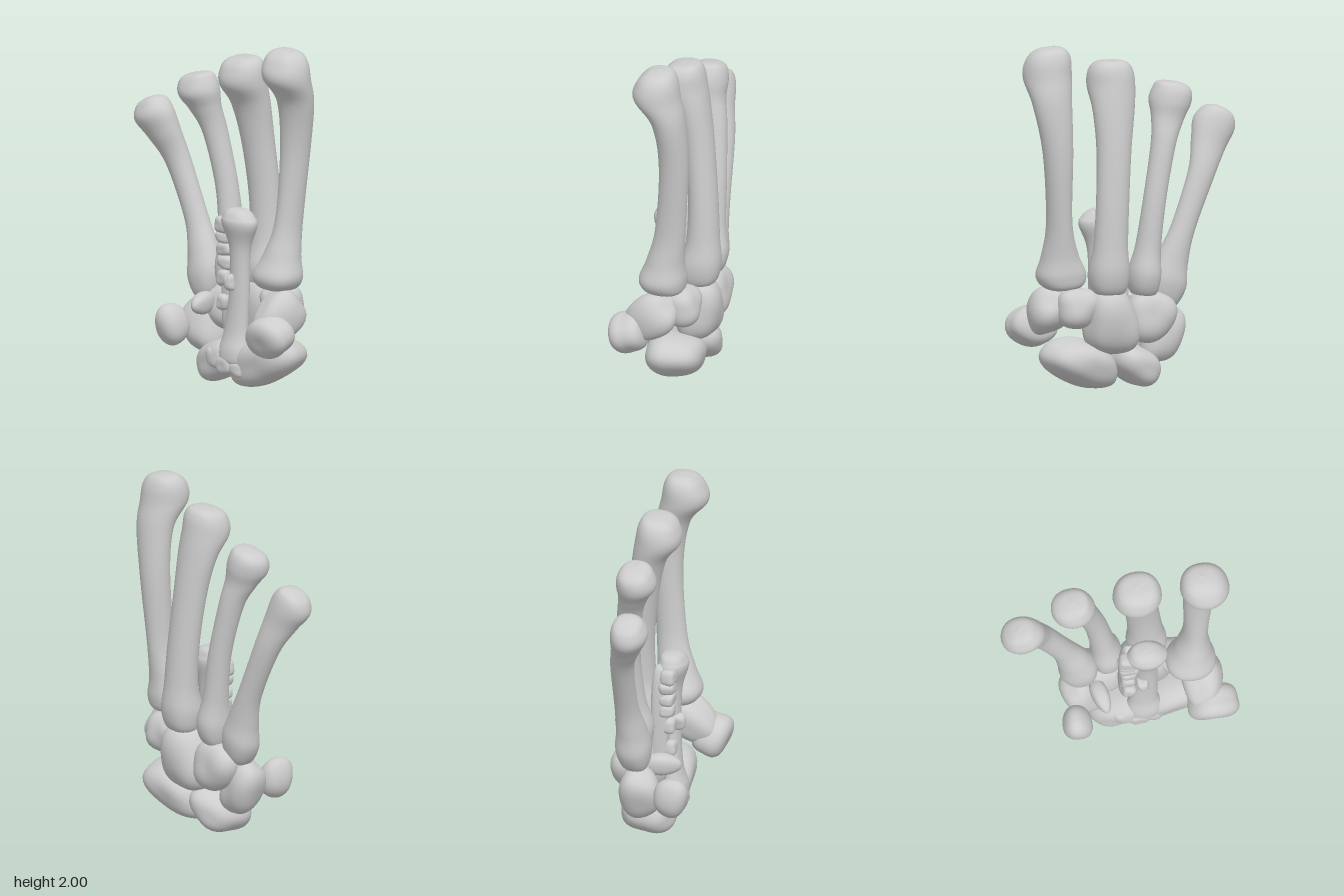
import * as THREE from 'three';
import { mergeVertices } from 'three/addons/utils/BufferGeometryUtils.js';

const bone = new THREE.MeshStandardMaterial({ color: 0xcccccc });
bone.name = 'bone grey';

const spow = (v, e) => Math.sign(v) * Math.pow(Math.abs(v), e);

// Long bone: smooth loft through sections [x, y, z, halfWidth, halfDepth], base to head
function longBone(name, sections) {
  const centre = new THREE.CatmullRomCurve3(sections.map(s => new THREE.Vector3(s[0], s[1], s[2])), false, 'catmullrom', 0.5);
  const size = new THREE.CatmullRomCurve3(sections.map(s => new THREE.Vector3(s[3], s[4], 0)), false, 'catmullrom', 0.5);
  const up = centre.getPoint(1).sub(centre.getPoint(0)).normalize();
  const u = new THREE.Vector3(1, 0, 0).addScaledVector(up, -up.x).normalize();
  const w = new THREE.Vector3().crossVectors(u, up).normalize();
  const rings = (sections.length - 1) * 8, sides = 36, pos = [], idx = [];
  for (let i = 0; i <= rings; i++) {
    const t = i / rings, c = centre.getPoint(t), r = size.getPoint(t);
    const end = Math.max(0, Math.abs(t - 0.5) * 2 - 0.4) / 0.6;
    const e = 1 - 0.28 * end;
    for (let j = 0; j < sides; j++) {
      const a = (j / sides) * Math.PI * 2, ca = Math.cos(a), sa = Math.sin(a);
      // hollow between the two knuckle lobes
      const dip = sa > 0 && t > 0.5 ? 1 - 0.1 * end * Math.exp(-Math.pow(ca / 0.35, 2)) : 1;
      const p = c.clone()
        .addScaledVector(u, Math.max(r.x, 0.002) * spow(ca, e))
        .addScaledVector(w, Math.max(r.y, 0.002) * spow(sa, e) * dip);
      pos.push(p.x, p.y, p.z);
      if (i < rings) {
        const k = (j + 1) % sides, A = i * sides + j, B = i * sides + k;
        idx.push(A, A + sides, B, B, A + sides, B + sides);
      }
    }
  }
  const g = new THREE.BufferGeometry();
  g.setAttribute('position', new THREE.Float32BufferAttribute(pos, 3));
  g.setIndex(idx);
  g.computeVertexNormals();
  const m = new THREE.Mesh(g, bone);
  m.name = name;
  return m;
}

// Short bone: rounded, gently lumpy block
function shortBone(name, at, radii, rot = [0, 0, 0], seed = 1, lump = 0.09, e = 0.8) {
  let g = new THREE.SphereGeometry(1, 40, 28);
  g.deleteAttribute('uv');
  g.deleteAttribute('normal');
  g = mergeVertices(g, 1e-4);
  const p = g.attributes.position;
  for (let i = 0; i < p.count; i++) {
    const x = p.getX(i), y = p.getY(i), z = p.getZ(i);
    const k = 1 + lump * (Math.sin(3.1 * x + seed) * Math.cos(2.7 * y + seed * 2) + Math.sin(3.3 * z + seed * 3) * 0.7);
    const n = Math.pow(Math.pow(Math.abs(x), 2 / e) + Math.pow(Math.abs(y), 2 / e) + Math.pow(Math.abs(z), 2 / e), -e / 2);
    p.setXYZ(i, x * n * k * radii[0], y * n * k * radii[1], z * n * k * radii[2]);
  }
  g.computeVertexNormals();
  const m = new THREE.Mesh(g, bone);
  m.name = name;
  m.position.set(...at);
  m.rotation.set(...rot);
  return m;
}

export function createModel() {
  const group = new THREE.Group();
  group.name = 'handBones';

  // Four long palm bones
  group.add(
    longBone('indexPalmBone', [
      [0.41, 0.6, -0.01, 0, 0], [0.41, 0.61, -0.01, 0.1, 0.1], [0.42, 0.68, 0, 0.142, 0.135],
      [0.437, 0.8, -0.02, 0.105, 0.11], [0.457, 1.0, -0.055, 0.071, 0.088], [0.478, 1.4, -0.083, 0.087, 0.085],
      [0.502, 1.68, -0.06, 0.115, 0.095], [0.5, 1.83, 0.01, 0.14, 0.135], [0.495, 1.93, 0.01, 0.127, 0.115],
      [0.49, 1.985, 0.0, 0.08, 0.07], [0.487, 2.0, 0.0, 0, 0]]),
    longBone('middlePalmBone', [
      [0.19, 0.57, -0.14, 0, 0], [0.19, 0.58, -0.14, 0.085, 0.09], [0.19, 0.69, -0.145, 0.115, 0.12],
      [0.185, 0.85, -0.16, 0.1, 0.095], [0.17, 1.1, -0.155, 0.096, 0.085], [0.147, 1.4, -0.125, 0.102, 0.087],
      [0.13, 1.62, -0.085, 0.124, 0.097], [0.12, 1.75, -0.03, 0.14, 0.13], [0.12, 1.84, -0.025, 0.127, 0.115],
      [0.12, 1.888, -0.03, 0.085, 0.075], [0.12, 1.9, -0.03, 0, 0]]),
    longBone('ringPalmBone', [
      [-0.04, 0.54, -0.11, 0, 0], [-0.04, 0.55, -0.11, 0.065, 0.08], [-0.045, 0.66, -0.12, 0.09, 0.11],
      [-0.065, 0.82, -0.13, 0.072, 0.08], [-0.105, 1.1, -0.135, 0.065, 0.067], [-0.17, 1.4, -0.11, 0.071, 0.072],
      [-0.213, 1.54, -0.075, 0.096, 0.085], [-0.24, 1.63, -0.05, 0.123, 0.114], [-0.255, 1.7, -0.05, 0.112, 0.1],
      [-0.25, 1.738, -0.05, 0.075, 0.065], [-0.25, 1.75, -0.05, 0, 0]]),
    longBone('littlePalmBone', [
      [-0.18, 0.465, -0.07, 0, 0], [-0.185, 0.475, -0.07, 0.07, 0.07], [-0.21, 0.59, -0.075, 0.113, 0.1],
      [-0.24, 0.72, -0.08, 0.095, 0.085], [-0.303, 0.9, -0.09, 0.07, 0.067], [-0.425, 1.2, -0.075, 0.079, 0.067],
      [-0.492, 1.36, -0.03, 0.105, 0.087], [-0.54, 1.46, 0.0, 0.126, 0.107], [-0.562, 1.525, 0.0, 0.1, 0.09],
      [-0.565, 1.558, 0.0, 0.055, 0.06], [-0.565, 1.57, 0.0, 0, 0]]),
    // Short free bone standing in front of the wrist
    longBone('thumbPalmBone', [
      [0.14, 0.13, 0.05, 0, 0], [0.14, 0.14, 0.05, 0.09, 0.075], [0.145, 0.21, 0.055, 0.105, 0.08],
      [0.145, 0.33, 0.05, 0.08, 0.055], [0.16, 0.55, 0.04, 0.065, 0.05], [0.165, 0.8, 0.04, 0.066, 0.055],
      [0.165, 0.94, 0.045, 0.115, 0.085], [0.16, 0.99, 0.045, 0.1, 0.075],
      [0.15, 1.025, 0.04, 0.06, 0.05], [0.15, 1.035, 0.04, 0, 0]])
  );

  // Wrist bones
  group.add(
    shortBone('peaBone', [-0.253, 0.32, 0.155], [0.082, 0.118, 0.098], [0.2, 0, 0.1], 2, 0.05, 0.9),
    shortBone('triangularBone', [-0.19, 0.3, -0.035], [0.112, 0.168, 0.115], [0, 0, 0.35], 3),
    shortBone('hookedBone', [-0.075, 0.42, -0.11], [0.135, 0.14, 0.125], [0, 0, 0.3], 1),
    shortBone('hookedBoneHook', [-0.105, 0.45, 0.06], [0.05, 0.065, 0.11], [0, 0.25, 0], 5, 0.05, 0.95),
    shortBone('centralBone', [0.165, 0.41, -0.13], [0.16, 0.205, 0.125], [0, 0, -0.1], 4),
    shortBone('moonBone', [-0.015, 0.135, -0.04], [0.165, 0.108, 0.16], [0, 0, 0.45], 6),
    shortBone('boatBone', [0.31, 0.165, -0.045], [0.225, 0.125, 0.16], [0, 0.1, 0.42], 2),
    shortBone('wedgeBone', [0.365, 0.5, -0.09], [0.115, 0.11, 0.115], [0, 0, 0.2], 7),
    shortBone('saddleBone', [0.48, 0.46, 0.055], [0.115, 0.12, 0.165], [0.6, 0, 0.1], 3),
    shortBone('saddleBoneKnob', [0.52, 0.365, 0.165], [0.14, 0.115, 0.1], [0.3, 0, 0.2], 8)
  );

  // Column of small bone chips beside the free bone, and a few at its foot
  const chips = [
    [0.05, 0.925, 0.05, 0.05, 0.045], [0.055, 0.855, 0.045, 0.055, 0.036], [0.06, 0.785, 0.04, 0.055, 0.036],
    [0.06, 0.71, 0.04, 0.052, 0.04], [0.055, 0.62, 0.045, 0.042, 0.045], [0.135, 0.61, 0.08, 0.034, 0.048],
    [0.058, 0.48, 0.05, 0.038, 0.045], [0.03, 0.16, 0.09, 0.065, 0.06], [0.11, 0.13, 0.095, 0.055, 0.05],
    [0.185, 0.12, 0.085, 0.06, 0.045]];
  chips.forEach(([x, y, z, rx, ry], i) =>
    group.add(shortBone('boneChip' + (i + 1), [x, y, z], [rx, ry, 0.045], [0, 0, (i % 3 - 1) * 0.15], i, 0.06, 0.6)));
  // Thin bridge behind the chips
  group.add(shortBone('chipBacking', [0.06, 0.62, 0.0], [0.05, 0.36, 0.05], [0, 0, -0.03], 1, 0.04, 0.6));

  return group;
}
